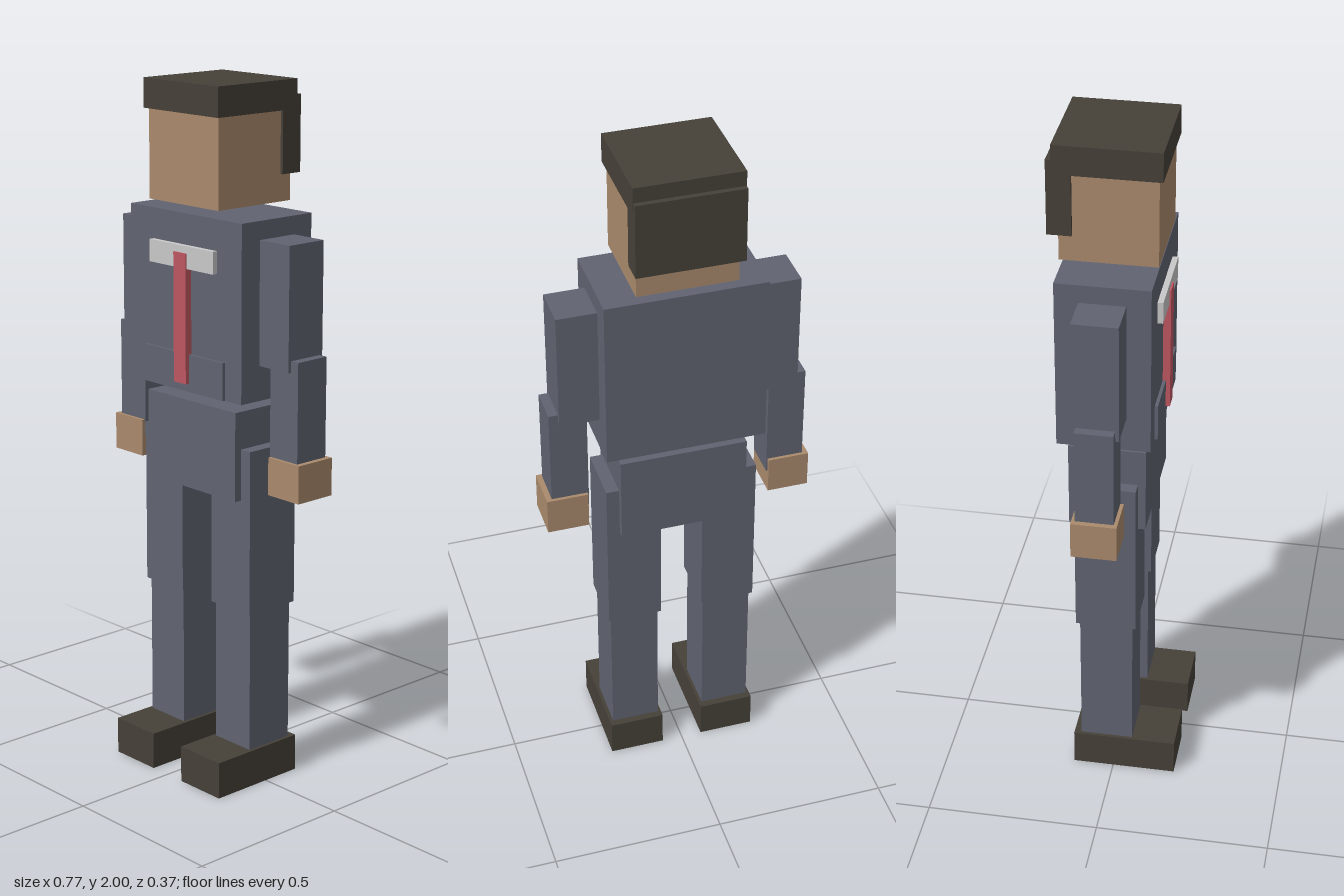
import * as THREE from 'three';

const material = (name, color) => {
  const m = new THREE.MeshStandardMaterial({ color });
  m.name = name;
  return m;
};

export function createModel() {
  const suit = material('slate suit', 0x606471);
  const skin = material('skin', 0xaa8a6c);
  const dark = material('dark brown', 0x464139);
  const red = material('tie red', 0xbe5660);
  const white = material('collar white', 0xc8c8c8);

  const model = new THREE.Group();
  model.name = 'suitedFigure';

  // Box given by its limits on each axis
  const block = (name, mat, [x0, x1], [y0, y1], [z0, z1], parent = model) => {
    const mesh = new THREE.Mesh(new THREE.BoxGeometry(x1 - x0, y1 - y0, z1 - z0), mat);
    mesh.position.set((x0 + x1) / 2, (y0 + y1) / 2, (z0 + z1) / 2);
    mesh.name = name;
    parent.add(mesh);
  };

  // Head and hair
  block('head', skin, [-0.141, 0.141], [1.666, 1.918], [-0.155, 0.113]);
  block('hairTop', dark, [-0.151, 0.151], [1.917, 2], [-0.17, 0.124]);
  block('hairBack', dark, [-0.15, 0.15], [1.742, 1.957], [-0.185, -0.118]);

  // Jacket, collar, tie and hips
  block('torso', suit, [-0.228, 0.228], [1.143, 1.642], [-0.153, 0.108]);
  block('jacketFront', suit, [-0.162, 0.162], [1.143, 1.25], [0.1, 0.117]);
  block('collar', white, [-0.131, 0.131], [1.492, 1.555], [0.1, 0.124]);
  block('tie', red, [-0.025, 0.025], [1.167, 1.535], [0.1, 0.129]);
  block('hips', suit, [-0.183, 0.183], [0.852, 1.108], [-0.13, 0.088]);

  // Mirrored limbs
  for (const [side, s] of [['left', 1], ['right', -1]]) {
    const span = (a, b) => (s > 0 ? [a, b] : [-b, -a]);
    const arm = new THREE.Group();
    arm.name = side + 'Arm';
    block('upperArm', suit, span(0.22, 0.342), [1.242, 1.59], [-0.087, 0.041], arm);
    block('forearm', suit, span(0.262, 0.369), [0.947, 1.274], [-0.077, 0.031], arm);
    block('hand', skin, span(0.266, 0.385), [0.882, 0.99], [-0.087, 0.041], arm);

    const leg = new THREE.Group();
    leg.name = side + 'Leg';
    block('thigh', suit, span(0.062, 0.22), [0.523, 1.0], [-0.108, 0.066], leg);
    block('shin', suit, span(0.07, 0.212), [0.09, 0.53], [-0.097, 0.056], leg);
    block('shoe', dark, span(0.061, 0.222), [0, 0.108], [-0.118, 0.184], leg);
    model.add(arm, leg);
  }
  return model;
}
